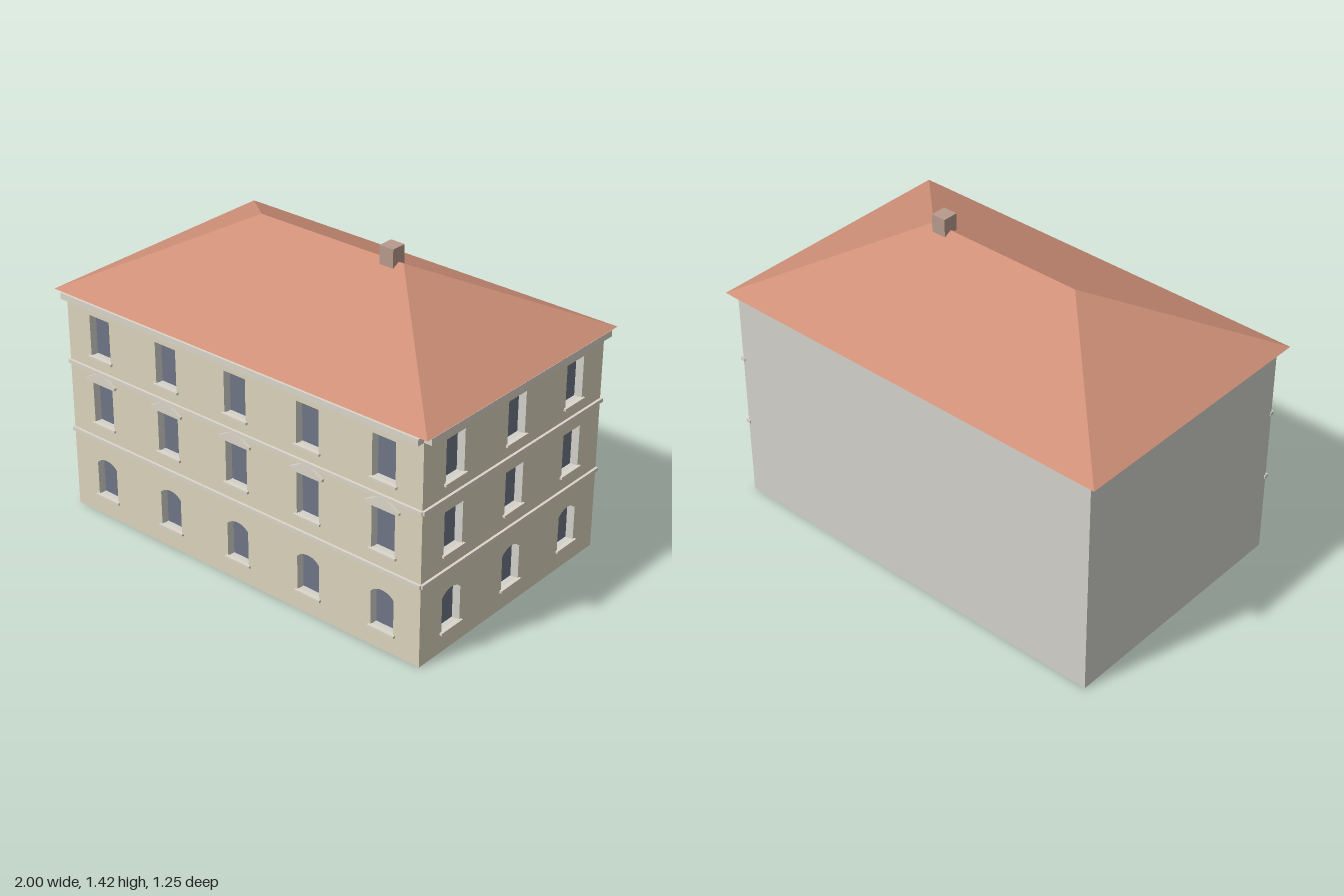
import * as THREE from 'three';

const mat = (color) => new THREE.MeshStandardMaterial({ color });
const plaster = mat(0xdcd3bd), plain = mat(0xd2d1ca), trim = mat(0xdcd6c8);
const glass = mat(0x6e7584), tile = mat(0xcf9078), brick = mat(0xb89a8c);

const HX = 0.96, HZ = 0.59, H = 1.045, DEPTH = 0.04; // half sizes, wall height, window recess
const WIN = 0.058; // half window width

function add(parent, name, geometry, material, x = 0, y = 0, z = 0) {
  const mesh = new THREE.Mesh(geometry, material);
  mesh.name = name;
  mesh.position.set(x, y, z);
  parent.add(mesh);
  return mesh;
}

// Box given by its extents
function block(parent, name, material, x0, x1, y0, y1, z0, z1) {
  return add(parent, name, new THREE.BoxGeometry(x1 - x0, y1 - y0, z1 - z0), material,
    (x0 + x1) / 2, (y0 + y1) / 2, (z0 + z1) / 2);
}

// Window outline, straight or with a shallow arched head
function windowPath(PathType, cx, y0, y1, rise) {
  const p = new PathType();
  p.moveTo(cx - WIN, y0);
  p.lineTo(cx + WIN, y0);
  p.lineTo(cx + WIN, y1 - rise);
  if (rise > 0) {
    const r = (WIN * WIN + rise * rise) / (2 * rise), a = Math.asin(WIN / r);
    p.absarc(cx, y1 - r, r, Math.PI / 2 - a, Math.PI / 2 + a, false);
  } else {
    p.lineTo(cx - WIN, y1);
  }
  p.closePath();
  return p;
}

const floors = [
  { y0: 0.093, y1: 0.28, rise: 0.026 },
  { y0: 0.453, y1: 0.646, rise: 0, gable: true },
  { y0: 0.774, y1: 0.967, rise: 0 },
];

// Decorated wall: local x runs along it, local z = 0 is its outer face
function facade(name, x0, x1, half, columns, gables) {
  const g = new THREE.Group();
  g.name = name;
  const wall = new THREE.Shape();
  wall.moveTo(x0, 0);
  wall.lineTo(x1, 0);
  wall.lineTo(x1, H);
  wall.lineTo(x0, H);
  wall.closePath();
  for (const f of floors) {
    for (const cx of columns) {
      wall.holes.push(windowPath(THREE.Path, cx, f.y0, f.y1, f.rise));
      add(g, 'windowPane', new THREE.ShapeGeometry(windowPath(THREE.Shape, cx, f.y0, f.y1, f.rise)),
        glass, 0, 0, -DEPTH + 0.003);
      block(g, 'windowSill', trim, cx - 0.068, cx + 0.068, f.y0 - 0.008, f.y0 + 0.003, -0.01, 0.011);
      if (f.gable && gables) {
        const s = new THREE.Shape();
        [[-0.085, 0.658], [0.085, 0.658], [0.085, 0.669], [0, 0.716], [-0.085, 0.669]]
          .forEach(([x, y], i) => (i ? s.lineTo(cx + x, y) : s.moveTo(cx + x, y)));
        add(g, 'windowGable', new THREE.ExtrudeGeometry(s, { depth: 0.014, bevelEnabled: false }), trim);
      }
    }
  }
  add(g, 'wall', new THREE.ExtrudeGeometry(wall, { depth: DEPTH, bevelEnabled: false }),
    [plaster, plain], 0, 0, -DEPTH);

  // String courses and cornice
  for (const y of [0.37, 0.701]) {
    block(g, 'stringCourse', trim, -half - 0.004, half + 0.004, y, y + 0.017, -0.01, 0.012);
  }
  block(g, 'cornice', trim, -half, half, 1.013, 1.042, -0.01, 0.036);
  return g;
}

// Hipped roof with a closed underside
function roofGeometry() {
  const ex = 1, ez = 0.622, y = 1.047, top = 1.36, rx = 0.38;
  const a = [-ex, y, ez], b = [ex, y, ez], c = [ex, y, -ez], d = [-ex, y, -ez];
  const l = [-rx, top, 0], r = [rx, top, 0];
  const tris = [a, b, r, a, r, l, c, d, l, c, l, r, b, c, r, d, a, l, a, d, c, a, c, b];
  const geo = new THREE.BufferGeometry();
  geo.setAttribute('position', new THREE.Float32BufferAttribute(tris.flat(), 3));
  geo.computeVertexNormals();
  return geo;
}

export function createModel() {
  const house = new THREE.Group();
  house.name = 'house';

  // Plain core, forming the back and far side walls
  block(house, 'core', plain, -HX, HX - DEPTH, 0, H, -HZ, HZ - DEPTH);
  block(house, 'cornerPost', plaster, HX - DEPTH, HX, 0, H, HZ - DEPTH, HZ);

  // Front facade and left side facade
  const front = facade('frontFacade', -HX, HX - DEPTH, HX,
    [-0.77, -0.385, 0, 0.385, 0.77], true);
  front.position.z = HZ;
  const side = facade('sideFacade', -HZ + DEPTH, HZ, HZ, [-0.393, 0, 0.393], false);
  side.rotation.y = Math.PI / 2;
  side.position.x = HX;
  house.add(front, side);

  // Roof and chimney
  add(house, 'roof', roofGeometry(), tile);
  block(house, 'chimney', brick, 0.285, 0.355, 1.28, 1.425, -0.036, 0.036);
  return house;
}
